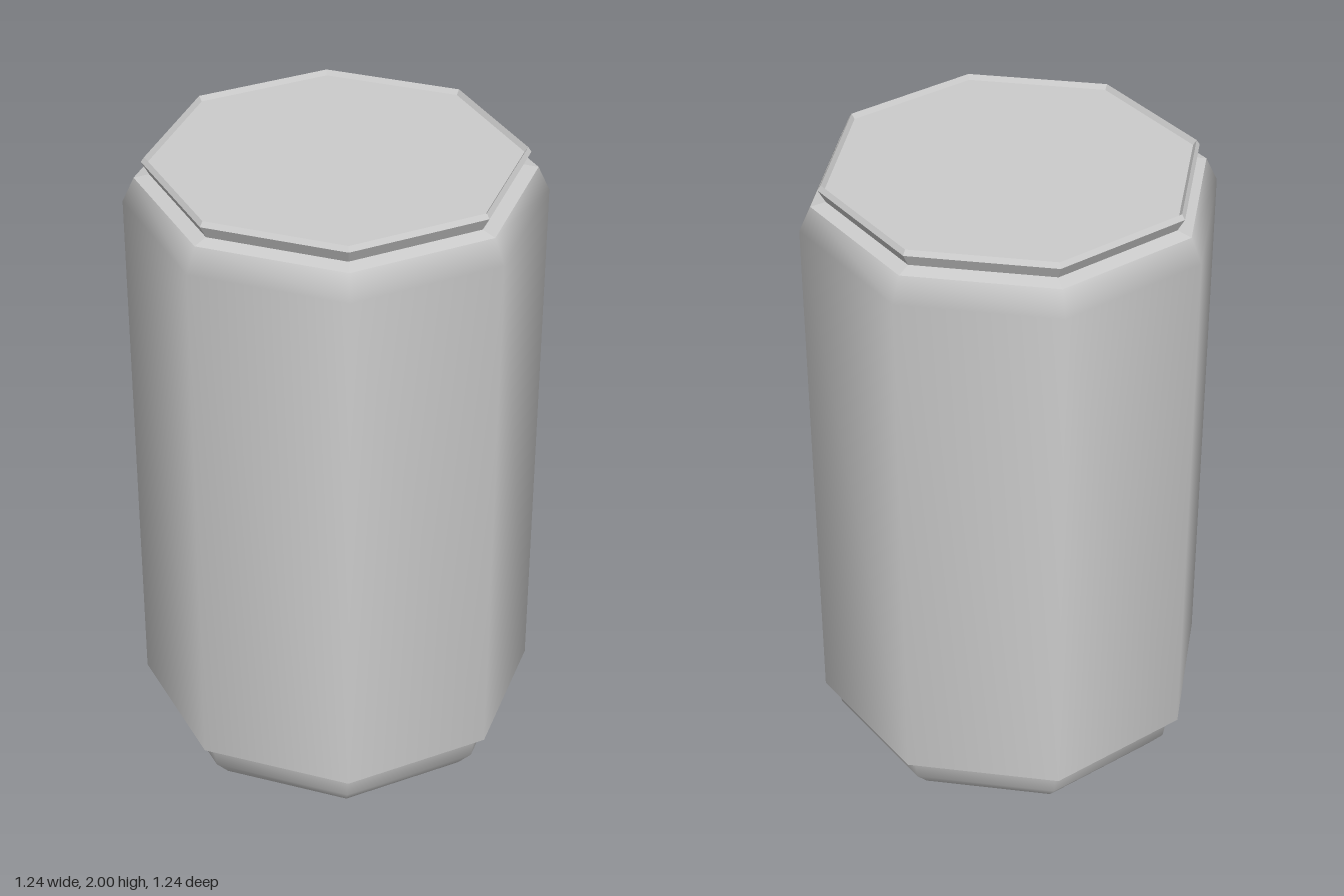
import * as THREE from 'three';

const SIDES = 8;

// Revolves a bottom-to-top [radius, height] profile into an eight-sided shell
function shell(name, profile, flatShading) {
  const points = profile.map(([r, y]) => new THREE.Vector2(r, y));
  const material = new THREE.MeshStandardMaterial({ color: 0xcccccc, flatShading });
  const mesh = new THREE.Mesh(new THREE.LatheGeometry(points, SIDES), material);
  mesh.name = name;
  return mesh;
}

export function createModel() {
  const can = new THREE.Group();
  can.name = 'drinkCan';
  can.add(
    // Flat underside
    shell('bottom', [[0, 0], [0.52, 0]], true),
    // Tapered foot, rounded into the base
    shell('foot', [[0.52, 0], [0.57, 0.06], [0.58, 0.125]], false),
    // Smooth body with a small lower bevel and sloping shoulder
    shell('body', [[0.58, 0.125], [0.62, 0.15], [0.62, 1.86], [0.585, 1.935]], false),
    // Narrow neck ledge, flared rim and its inner lip
    shell('rim', [[0.585, 1.935], [0.54, 1.945], [0.562, 1.985], [0.552, 2],
      [0.542, 1.985], [0.525, 1.985]], true),
    // Flat lid just below the rim
    shell('lid', [[0.525, 1.985], [0, 1.985]], true),
  );
  return can;
}
